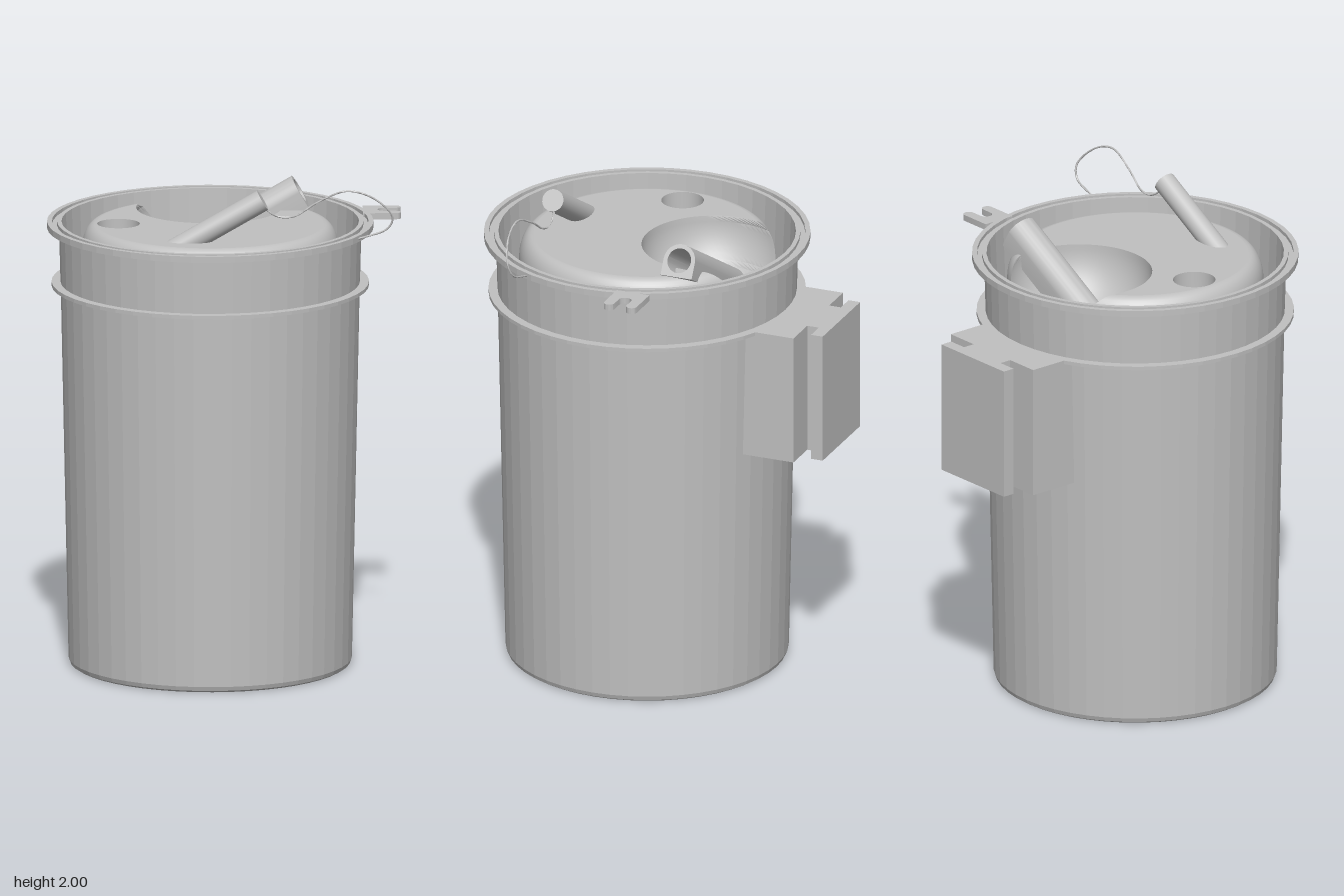
import * as THREE from 'three';
import { toCreasedNormals } from 'three/addons/utils/BufferGeometryUtils.js';

const CX = -0.06, CZ = 0.09;              // axis of the bin
const TOP = 1.79, FLOOR = 1.56;           // lid top and recessed ledge
const DOME = 0.51, FLAT = 0.452, ROUND_H = 0.1; // lid radius, flat radius, edge height
const BOWL = 0.29, OFF = 0.29;            // bowl radius and its offset to the back

const grey = new THREE.MeshStandardMaterial({ color: 0xc0c0c0 });
grey.name = 'grey plastic';

const v2 = (list) => list.map(([x, y]) => new THREE.Vector2(x, y));
const acos = (c) => Math.acos(Math.min(1, Math.max(-1, c)));

// Parametric sheet: u runs round the axis, v along the profile
function sheet(nu, nv, fn) {
  const pos = [], idx = [];
  for (let i = 0; i <= nu; i++) for (let j = 0; j <= nv; j++) pos.push(...fn(i / nu, j / nv));
  for (let i = 0; i < nu; i++) for (let j = 0; j < nv; j++) {
    const a = i * (nv + 1) + j, b = a + nv + 1;
    idx.push(a, b, a + 1, b + 1, a + 1, b);
  }
  const g = new THREE.BufferGeometry();
  g.setAttribute('position', new THREE.Float32BufferAttribute(pos, 3));
  g.setIndex(idx);
  return g;
}

// Radius of the lid at height y, and of the bowl at height y
const domeRadius = (y) => y <= TOP - ROUND_H ? DOME
  : FLAT + (DOME - FLAT) * Math.sqrt(Math.max(0, 1 - ((y - TOP + ROUND_H) / ROUND_H) ** 2));
const bowlRadius = (y) => Math.sqrt(Math.max(1e-8, BOWL ** 2 - (TOP - y) ** 2));
// Half angle of the opening at the back where bowl and lid edge cross
const domeGap = (y, r) => acos((r * r + OFF * OFF - bowlRadius(y) ** 2) / (2 * r * OFF));
const bowlGap = (y) => {
  const R = bowlRadius(y);
  return acos((domeRadius(y) ** 2 - OFF * OFF - R * R) / (2 * OFF * R));
};
const sweep = (gap, u) => Math.PI + gap + u * 2 * (Math.PI - gap);

export function createModel() {
  const root = new THREE.Group();
  const add = (name, geo, x = 0, y = 0, z = 0, crease = 0.4) => {
    const m = new THREE.Mesh(toCreasedNormals(geo, crease), grey);
    m.name = name;
    m.position.set(x, y, z);
    root.add(m);
    return m;
  };

  // Bin: outer wall, band, grooved rim, inner wall and ledge
  add('binBody', new THREE.LatheGeometry(v2([
    [0, 0], [0.545, 0], [0.558, 0.008], [0.564, 0.025], [0.595, 1.54],
    [0.632, 1.54], [0.632, 1.555], [0.596, 1.555], [0.602, 1.775],
    [0.65, 1.775], [0.65, 1.8], [0.63, 1.8], [0.63, 1.785], [0.61, 1.785],
    [0.61, 1.8], [0.592, 1.8], [0.582, FLOOR], [DOME, FLOOR],
  ]), 48), CX, 0, CZ, 0.1);

  // Lid edge, opened at the back by the bowl
  add('lidEdge', sheet(64, 18, (u, v) => {
    let r = DOME, y;
    if (v <= 0.5) y = FLOOR + (TOP - ROUND_H - FLOOR) * v * 2;
    else {
      const t = (v - 0.5) * Math.PI;
      r = FLAT + (DOME - FLAT) * Math.cos(t);
      y = TOP - ROUND_H + ROUND_H * Math.sin(t);
    }
    const a = sweep(domeGap(y, r), u);
    return [r * Math.sin(a), y, r * Math.cos(a)];
  }), CX, 0, CZ);

  // Bowl sunk in the lid
  add('bowl', sheet(48, 18, (u, v) => {
    const y = TOP - BOWL * Math.sin(v * Math.PI / 2);
    const R = bowlRadius(y), a = sweep(bowlGap(y), u);
    return [R * Math.sin(a), y, R * Math.cos(a)];
  }), CX, 0, CZ - OFF);

  // Flat lid top with the bowl bite and a round hole
  const outline = [];
  for (let i = 0; i <= 64; i++) {
    const a = sweep(domeGap(TOP, FLAT), i / 64);
    outline.push([FLAT * Math.sin(a), -FLAT * Math.cos(a)]);
  }
  for (let i = 47; i > 0; i--) {
    const a = sweep(bowlGap(TOP), i / 48);
    outline.push([BOWL * Math.sin(a), OFF - BOWL * Math.cos(a)]);
  }
  const lid = new THREE.Shape(v2(outline));
  lid.holes.push(new THREE.Path().absarc(-0.365, 0, 0.085, 0, Math.PI * 2, true));
  add('lidTop', new THREE.ShapeGeometry(lid, 16).rotateX(-Math.PI / 2), CX, TOP, CZ);
  add('roundHole', new THREE.LatheGeometry(v2([[0.085, TOP], [0.085, 1.6], [0, 1.6]]), 32),
    CX - 0.365, 0, CZ);

  // Drain disc at the foot of the spout
  add('drain', new THREE.CylinderGeometry(0.065, 0.065, 0.05, 24), -0.2, 1.52, -0.2);

  // Sloping spout: round above, square below, bored through
  const s = Math.sin(Math.PI / 6), c = Math.cos(Math.PI / 6), R = 0.067;
  const section = new THREE.Shape();
  section.moveTo(-R, -R);
  section.lineTo(R, -R);
  section.lineTo(R, 0);
  section.absarc(0, 0, R, 0, Math.PI, false);
  section.closePath();
  section.holes.push(new THREE.Path().absarc(0, 0, 0.05, 0, Math.PI * 2, true));
  const spout = new THREE.ExtrudeGeometry(section, { depth: 0.6, bevelEnabled: false, curveSegments: 14 });
  spout.translate(0, 0, -0.6).applyMatrix4(new THREE.Matrix4().makeBasis(
    new THREE.Vector3(0, 0, -1), new THREE.Vector3(-s, c, 0), new THREE.Vector3(c, s, 0)));
  add('spout', spout, 0.302, 1.857, -0.2);
  add('sideNozzle', new THREE.CylinderGeometry(0.027, 0.027, 0.2, 16).rotateX(Math.PI / 2),
    -0.105, 1.6, -0.3);

  // Sloping handle with its cable
  add('handle', new THREE.CylinderGeometry(0.045, 0.045, 0.48, 24)
    .translate(0, -0.24, 0).rotateZ(-Math.PI / 3), 0.143, 1.957, 0.412);
  const path = new THREE.CatmullRomCurve3([
    [0.13, 1.94, 0.405], [0.2, 1.887, 0.395], [0.27, 1.887, 0.397], [0.36, 1.945, 0.41],
    [0.48, 1.995, 0.425], [0.59, 1.96, 0.418], [0.66, 1.88, 0.39], [0.64, 1.83, 0.375],
    [0.52, 1.785, 0.365],
  ].map((p) => new THREE.Vector3(...p)));
  add('cable', new THREE.TubeGeometry(path, 60, 0.004, 6), 0, 0, 0, 1.2);

  // Forked tab on the rim, drawn as x and -z
  const tab = new THREE.Shape();
  tab.moveTo(0.55, 0.035);
  tab.lineTo(0.68, 0.035);
  tab.absarc(0.68, 0.057, 0.022, -Math.PI / 2, Math.PI / 2, false);
  tab.lineTo(0.635, 0.079);
  tab.absarc(0.635, 0.105, 0.026, -Math.PI / 2, Math.PI / 2, true);
  tab.lineTo(0.68, 0.131);
  tab.absarc(0.68, 0.153, 0.022, -Math.PI / 2, Math.PI / 2, false);
  tab.lineTo(0.55, 0.175);
  tab.closePath();
  add('forkTab', new THREE.ExtrudeGeometry(tab, { depth: 0.025, bevelEnabled: false })
    .rotateX(-Math.PI / 2), 0, 1.775, 0);

  // Back bracket: block, neck and mounting plate
  const half = [[0.255, 0.42], [0.255, 0.65], [0.113, 0.65], [0.113, 0.7], [0.193, 0.7], [0.193, 0.75]];
  const bracket = new THREE.Shape(v2([...half, ...half.slice().reverse().map(([x, y]) => [-x, y])]));
  add('backBracket', new THREE.ExtrudeGeometry(bracket, { depth: 0.535, bevelEnabled: false })
    .rotateX(-Math.PI / 2), -0.055, 1.02, 0);

  return root;
}
